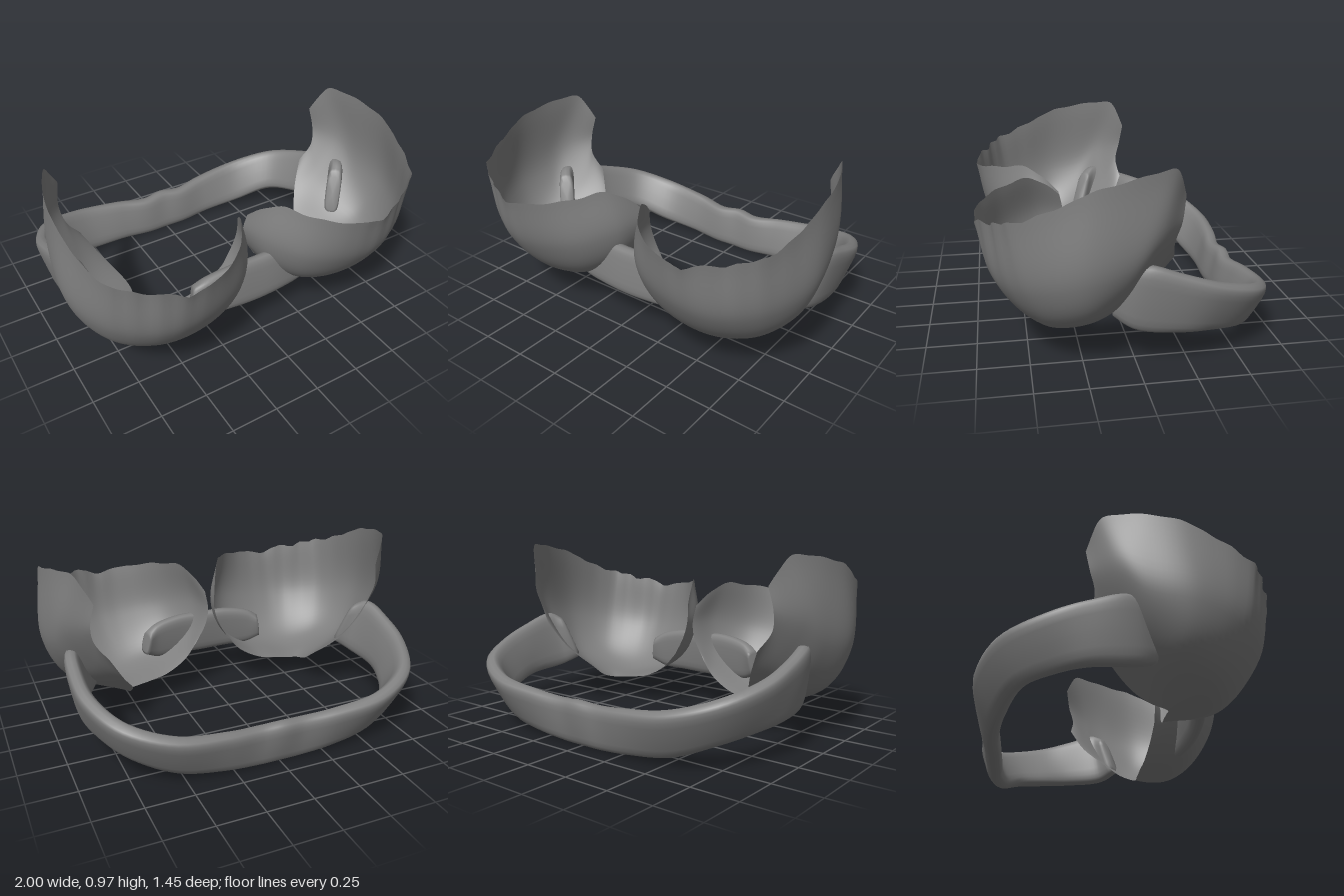
import * as THREE from 'three';

const V = (p) => new THREE.Vector3(p[0], p[1], p[2]);
const curve = (pts) => new THREE.CatmullRomCurve3(pts);

function geometry(pos, idx) {
  const g = new THREE.BufferGeometry();
  g.setAttribute('position', new THREE.Float32BufferAttribute(pos, 3));
  g.setIndex(idx);
  g.computeVertexNormals();
  return g;
}

// Ribs of one cup, each from the lower rim to the torn upper rim,
// running from the inner edge round the front to the outer back tip.
const ribs = [
  [[.10, .32, .25], [.04, .43, .25], [.02, .52, .26], [.03, .62, .28]],
  [[.18, .23, .235], [.10, .35, .39], [.065, .52, .43], [.12, .745, .45]],
  [[.30, .165, .22], [.24, .25, .475], [.205, .46, .59], [.24, .72, .62]],
  [[.40, .145, .21], [.42, .19, .49], [.45, .41, .66], [.45, .69, .725]],
  [[.50, .13, .205], [.61, .165, .45], [.68, .40, .635], [.69, .71, .69]],
  [[.55, .125, .20], [.79, .21, .38], [.885, .43, .50], [.89, .76, .56]],
  [[.56, .155, .11], [.88, .275, .22], [.988, .49, .28], [.97, .88, .28]],
  [[.565, .22, .02], [.83, .33, .06], [.965, .54, .06], [.955, .945, .05]],
  [[.645, .35, -.11], [.79, .45, -.08], [.92, .65, -.08], [.88, .96, -.15]],
  [[.73, .50, -.19], [.80, .60, -.175], [.82, .70, -.20], [.80, .82, -.22]],
];

// Thin open shell lofted across the ribs; side is 1 or -1
function cupGeometry(side) {
  const nu = 80, nv = 28, pos = [], idx = [];
  const ribCurves = ribs.map((r) => curve(r.map(V)));
  for (let j = 0; j <= nv; j++) {
    const v = j / nv;
    const row = curve(ribCurves.map((c) => c.getPoint(v)));
    for (let i = 0; i <= nu; i++) {
      const u = i / nu, p = row.getPoint(u), edge = v ** 8;
      // ragged upper rim with one notch, crumpled most at the front outside
      const notch = Math.exp(-(((u - .39) / .02) ** 2)) * .03;
      const ragged = .008 * Math.sin(u * 47) * Math.sin(u * 19 + 1);
      const crumple = Math.exp(-(((u - .5) / .13) ** 2))
        * Math.sin(u * 83) * Math.sin(u * 37) * .014;
      p.y += edge * (ragged + crumple - notch);
      p.z += v ** 4 * crumple;
      pos.push(p.x * side, p.y, p.z);
      if (i < nu && j < nv) {
        const a = j * (nu + 1) + i, b = a + 1, c = a + nu + 1, d = c + 1;
        if (side > 0) idx.push(a, b, d, a, d, c);
        else idx.push(a, d, b, a, c, d);
      }
    }
  }
  return geometry(pos, idx);
}

// Rounded band swept between a top edge and a bottom edge
function bandGeometry(sections, half, steps, sides = 20) {
  const full = [...sections.slice(0, -1), ...sections.slice().reverse().map(
    (s) => s.map(([x, y, z]) => [-x, y, z]))];
  const top = curve(full.map((s) => V(s[0])));
  const bottom = curve(full.map((s) => V(s[1])));
  const mid = (t) => top.getPoint(t).add(bottom.getPoint(t)).multiplyScalar(.5);
  const pow = (x) => Math.sign(x) * Math.abs(x) ** .6;
  // [position along band, scale]: the ends close with small rounded caps
  const rings = [[0, 0], [0, .8]];
  for (let i = 0; i <= steps; i++) rings.push([.008 + .984 * i / steps, 1]);
  rings.push([1, .8], [1, 0]);
  const pos = [], idx = [];
  rings.forEach(([t, s], i) => {
    const c = mid(t);
    const h = top.getPoint(t).sub(c);
    const dir = mid(Math.min(1, t + .01)).sub(mid(Math.max(0, t - .01)));
    const n = dir.cross(h).normalize().multiplyScalar(half);
    for (let j = 0; j < sides; j++) {
      const a = j / sides * Math.PI * 2;
      const p = c.clone().addScaledVector(h, s * pow(Math.cos(a)))
        .addScaledVector(n, s * pow(Math.sin(a)));
      pos.push(p.x, p.y, p.z);
      if (i < rings.length - 1) {
        const k = (j + 1) % sides, a0 = i * sides, a1 = a0 + sides;
        idx.push(a0 + j, a0 + k, a1 + j, a0 + k, a1 + k, a1 + j);
      }
    }
  });
  return geometry(pos, idx);
}

// Half profiles (top edge, bottom edge) from one end to the centre line
const strapSections = [
  [[.835, .49, .035], [.765, .25, .11]],
  [[.895, .53, -.03], [.835, .20, .01]],
  [[.915, .48, -.20], [.855, .18, -.19]],
  [[.90, .42, -.375], [.81, .16, -.34]],
  [[.79, .35, -.585], [.72, .125, -.49]],
  [[.57, .285, -.692], [.53, .05, -.58]],
  [[.30, .25, -.69], [.30, .02, -.62]],
  [[.12, .23, -.66], [.12, .003, -.62]],
  [[0, .24, -.675], [0, .003, -.62]],
];
const bridgeSections = [
  [[.36, .37, .375], [.385, .24, .395]],
  [[.30, .41, .395], [.30, .20, .42]],
  [[.15, .44, .41], [.15, .19, .44]],
  [[0, .44, .41], [0, .185, .445]],
];

export function createModel() {
  const group = new THREE.Group();
  const solid = new THREE.MeshStandardMaterial({ color: 0x808080 });
  const thin = new THREE.MeshStandardMaterial({ color: 0x808080, side: THREE.DoubleSide });
  const add = (name, geo, mat) => {
    const mesh = new THREE.Mesh(geo, mat);
    mesh.name = name;
    group.add(mesh);
  };
  add('leftCup', cupGeometry(1), thin);
  add('rightCup', cupGeometry(-1), thin);
  add('backStrap', bandGeometry(strapSections, .044, 96), solid);
  add('frontBridge', bandGeometry(bridgeSections, .038, 32), solid);
  return group;
}
